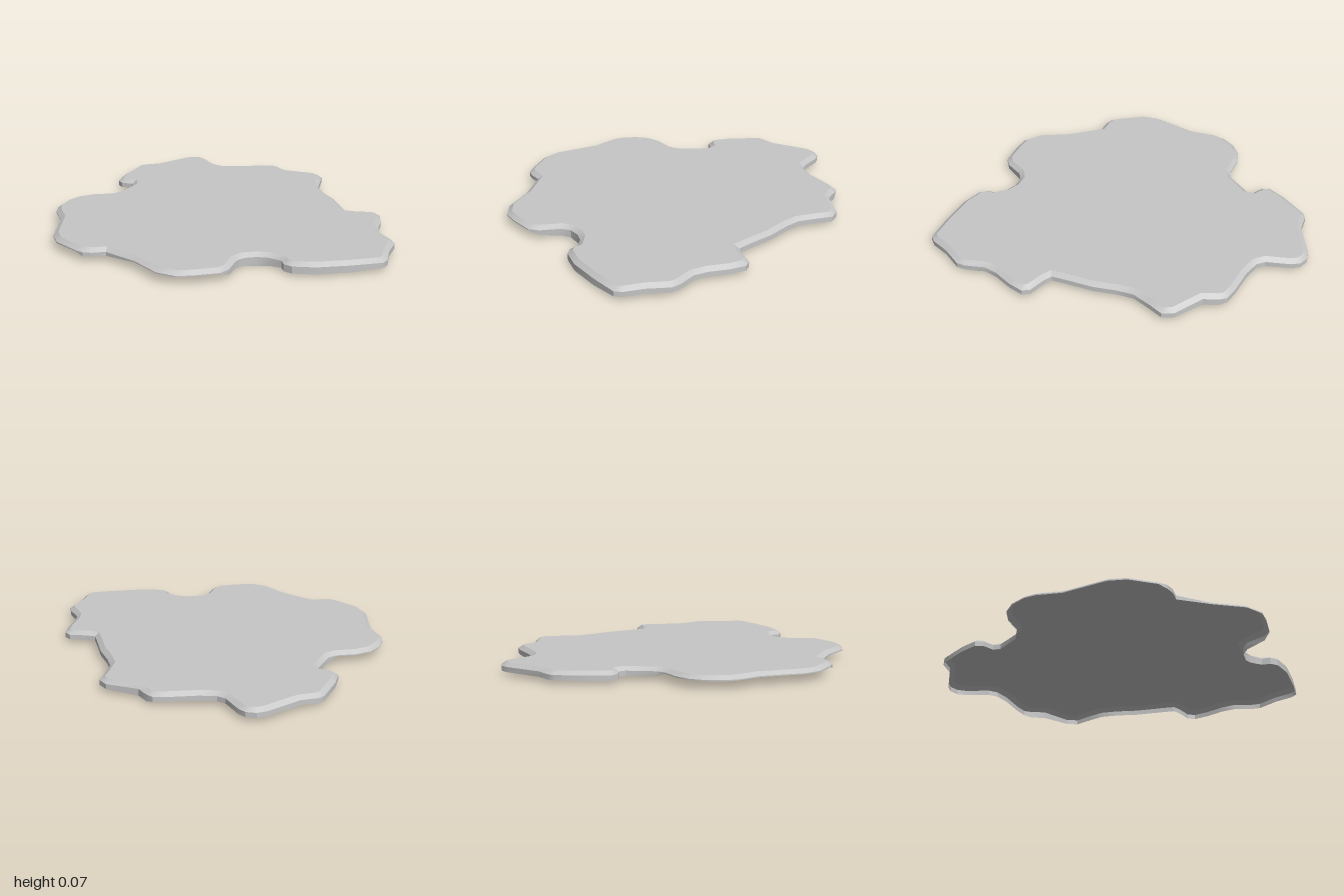
import * as THREE from 'three';
import { toCreasedNormals } from 'three/addons/utils/BufferGeometryUtils.js';

const TOP = 0.07, EDGE = 0.05, LOW = 0.022, INSET = 0.027;

// Rim outline as x, z pairs, running from the back tip over +x to the front
const backRight = [
  -0.2, -1, -0.145, -0.99, -0.11, -0.955, -0.045, -0.83, 0, -0.8, 0.09, -0.795, 0.25, -0.815,
  0.325, -0.815, 0.36, -0.785, 0.405, -0.715, 0.58, -0.655, 0.62, -0.6, 0.6, -0.5, 0.585, -0.4,
  0.61, -0.31, 0.66, -0.19, 0.7, -0.03, 0.72, 0.04, 0.77, 0.055, 0.87, 0.065, 0.9, 0.1,
];
const frontRight = [
  0.895, 0.19, 0.87, 0.3, 0.87, 0.38, 0.92, 0.48, 0.93, 0.53, 0.885, 0.65, 0.865, 0.76, 0.84, 0.8,
  0.675, 0.84, 0.495, 0.87, 0.375, 0.86, 0.335, 0.83, 0.325, 0.785, 0.26, 0.745, 0.2, 0.735,
  0.135, 0.75, 0.095, 0.79, 0.06, 0.905, 0.02, 0.95, -0.115, 0.985,
];
const frontLeft = [
  -0.2, 0.995, -0.3, 0.95, -0.42, 0.805, -0.58, 0.68, -0.65, 0.695, -0.7, 0.69, -0.74, 0.66,
  -0.855, 0.545, -0.89, 0.45, -0.89, 0.195, -0.935, 0.06, -0.935, -0.01, -0.905, -0.1,
];
const backLeft = [
  -0.85, -0.17, -0.765, -0.215, -0.65, -0.235, -0.605, -0.27, -0.54, -0.415, -0.55, -0.455,
  -0.615, -0.475, -0.64, -0.515, -0.615, -0.62, -0.545, -0.79, -0.52, -0.815, -0.42, -0.845,
  -0.25, -0.98,
];

// Lower edge: shallow along the left and front lobes, dipping in a few hollows
function lowerEdge(x, z) {
  if (z > 0.7 && x > 0.08 && x < 0.3) return 0.01 * Math.min(1, Math.abs(x - 0.2) * 10);
  if (z > 0.7 && x > 0.3 && x < 0.7) return 0.012;
  if (z > 0.67 && x < -0.57) return 0.028;
  if (z > 0.9 && x < 0.04) return 0.044;
  if (z > 0.67 && x < -0.3) return 0.044;
  if (z > -0.25 && x < -0.64) return 0.044;
  if (z < -0.7 && x > 0.34) return 0.012;
  return LOW;
}

// Moves every outline point inwards along its mitred corner
function insetOutline(pts, d) {
  const n = pts.length;
  const inward = (a, b) => new THREE.Vector2(a.y - b.y, b.x - a.x).normalize();
  return pts.map((p, i) => {
    const n1 = inward(pts[(i + n - 1) % n], p);
    const n2 = inward(p, pts[(i + 1) % n]);
    const m = n1.clone().add(n2).normalize();
    return m.clone().multiplyScalar(d / Math.max(0.75, m.dot(n1))).add(p);
  });
}

// Closed strip of quads between an upper and a lower loop
function band(upper, lower) {
  const pos = [];
  const n = upper.length;
  for (let i = 0; i < n; i++) {
    const j = (i + 1) % n;
    for (const v of [upper[i], upper[j], lower[j], upper[i], lower[j], lower[i]]) pos.push(v.x, v.y, v.z);
  }
  const g = new THREE.BufferGeometry();
  g.setAttribute('position', new THREE.Float32BufferAttribute(pos, 3));
  return toCreasedNormals(g, 0.5);
}

export function createModel() {
  const group = new THREE.Group();
  group.name = 'groundSlab';
  const stone = new THREE.MeshStandardMaterial({ color: 0xc6c6c6, side: THREE.DoubleSide });
  stone.name = 'stoneGrey';

  const flat = [...backRight, ...frontRight, ...frontLeft, ...backLeft];
  const outline = [];
  for (let i = 0; i < flat.length; i += 2) outline.push(new THREE.Vector2(flat[i], flat[i + 1]));
  const inner = insetOutline(outline, INSET);

  const innerLoop = inner.map((p) => new THREE.Vector3(p.x, TOP, p.y));
  const edgeLoop = outline.map((p) => new THREE.Vector3(p.x, EDGE, p.y));
  const lowLoop = outline.map((p) => new THREE.Vector3(p.x, lowerEdge(p.x, p.y), p.y));

  const add = (name, geometry) => {
    const mesh = new THREE.Mesh(geometry, stone);
    mesh.name = name;
    group.add(mesh);
  };

  // Flat top, bevelled rim and thin outer wall, open underneath
  const top = new THREE.ShapeGeometry(new THREE.Shape(inner.map((p) => new THREE.Vector2(p.x, -p.y))));
  top.rotateX(-Math.PI / 2).translate(0, TOP, 0);
  add('topSurface', top);
  add('bevelledRim', band(innerLoop, edgeLoop));
  add('outerWall', band(edgeLoop, lowLoop));
  return group;
}
